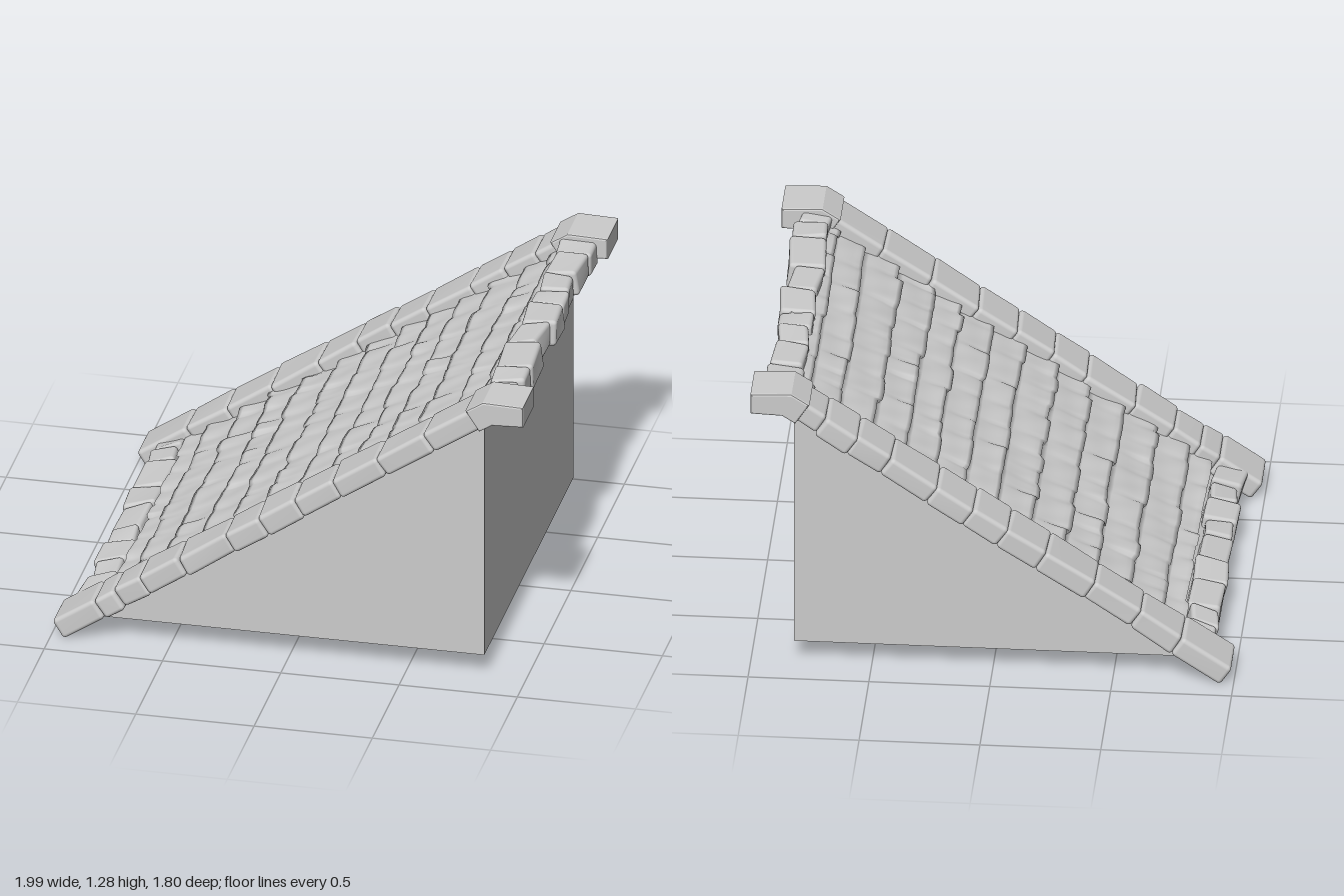
import * as THREE from 'three';
import { mergeVertices } from 'three/addons/utils/BufferGeometryUtils.js';
import { RoundedBoxGeometry } from 'three/addons/geometries/RoundedBoxGeometry.js';

const SLOPE = Math.atan(0.66), COS = Math.cos(SLOPE);
const mat = new THREE.MeshStandardMaterial({ color: 0xcccccc });
const sheetMat = new THREE.MeshStandardMaterial({ color: 0xcccccc, side: THREE.DoubleSide });

let seed = 7;
const rand = () => (seed = (seed * 16807) % 2147483647) / 2147483647;
const jitter = (a) => (rand() * 2 - 1) * a;

// Worn stone block: a rounded box, slightly tapered, twisted and dented
function stone(name, w, h, d, rough) {
  let g = new RoundedBoxGeometry(w, h, d, 3, Math.min(0.018, w * 0.2, d * 0.2));
  g.deleteAttribute('normal');
  g.deleteAttribute('uv');
  g = mergeVertices(g, 1e-4);
  const p = g.attributes.position;
  const k = Array.from({ length: 6 }, () => jitter(rough));
  for (let i = 0; i < p.count; i++) {
    const u = p.getX(i) / w, v = p.getY(i) / h, t = p.getZ(i) / d;
    p.setXYZ(i,
      p.getX(i) + k[0] * t + k[1] * v * t * 2,
      p.getY(i) + k[2] * t + k[3] * u * t * 2,
      p.getZ(i) + k[4] * u + k[5] * u * v * 2);
  }
  g.computeVertexNormals();
  const m = new THREE.Mesh(g, mat);
  m.name = name;
  return m;
}

// Bent corner stone at the top of each rail
function cornerStone(z) {
  const pts = [[0.765, 1.255], [0.83, 1.297], [0.99, 1.292], [0.99, 1.215], [0.865, 1.21], [0.815, 1.178]];
  const s = new THREE.Shape(pts.map(([x, y]) => new THREE.Vector2(x, y)));
  const g = new THREE.ExtrudeGeometry(s, {
    depth: 0.19, bevelThickness: 0.01, bevelSize: 0.008, bevelSegments: 2,
  });
  g.translate(0, 0, z - 0.095);
  const m = new THREE.Mesh(g, mat);
  m.name = 'topCornerStone';
  return m;
}

// Overlapping shingle courses as one displaced sheet, in slope coordinates
function shingles() {
  const rows = [-0.80, -0.72, -0.58, -0.44, -0.31, -0.17, -0.03, 0.10, 0.23, 0.345, 0.48, 0.62, 0.74, 0.86];
  const z0 = -0.74, z1 = 0.73, nz = 90, na = 8;
  const pos = [], idx = [];
  const stride = nz + 1;
  let lines = 0;
  for (let r = 0; r < rows.length - 1; r++) {
    // tile joints of this course, each tile with its own lift and overhang
    const tiles = [];
    for (let z = z0 - rand() * 0.12; z < z1;) {
      const w = 0.1 + rand() * 0.13;
      tiles.push({ z, w, lift: jitter(0.008), over: jitter(0.014), tilt: jitter(0.008) });
      z += w;
    }
    for (let a = 0; a <= na; a++, lines++) {
      const f = a / na;
      for (let j = 0; j <= nz; j++) {
        const z = z0 + (z1 - z0) * j / nz;
        const t = tiles.find((q) => z <= q.z + q.w) || tiles[tiles.length - 1];
        const e = (z - t.z) / t.w;
        const round = 1 - Math.pow(Math.abs(2 * e - 1), 6);
        const s = THREE.MathUtils.lerp(rows[r], rows[r + 1], f) / COS + t.over * (1 - f);
        const nose = f < 0.12 ? -0.006 : 0;
        const high = -0.028 + t.lift + t.tilt * (e - 0.5) - 0.008 * (1 - round) + nose;
        const y = THREE.MathUtils.lerp(high, -0.062, Math.pow(f, 0.8))
          + 0.003 * Math.sin(s * 31 + z * 17) * Math.sin(z * 23 - s * 11);
        pos.push(s, y, z);
      }
    }
  }
  for (let i = 0; i < lines - 1; i++) {
    for (let j = 0; j < nz; j++) {
      const a = i * stride + j, b = a + 1, c = a + stride, d = c + 1;
      idx.push(a, b, c, b, d, c);
    }
  }
  const g = new THREE.BufferGeometry();
  g.setAttribute('position', new THREE.Float32BufferAttribute(pos, 3));
  g.setIndex(idx);
  g.computeVertexNormals();
  const m = new THREE.Mesh(g, sheetMat);
  m.name = 'shingles';
  return m;
}

export function createModel() {
  const root = new THREE.Group();
  root.name = 'slopedRoof';

  // Solid wedge under the roof
  const tri = new THREE.Shape([[-0.8, 0.112], [0.822, 0.112], [0.822, 1.185]].map(([x, y]) => new THREE.Vector2(x, y)));
  const wedgeGeo = new THREE.ExtrudeGeometry(tri, { depth: 1.67, bevelEnabled: false });
  wedgeGeo.translate(0, 0, -0.84);
  const wedge = new THREE.Mesh(wedgeGeo, mat);
  wedge.name = 'wedgeBase';
  root.add(wedge);

  // Everything lying on the slope; local y = 0 is the rail top
  const slope = new THREE.Group();
  slope.name = 'roofSlope';
  slope.position.y = 0.75;
  slope.rotation.z = SLOPE;
  slope.add(shingles());
  root.add(slope);

  // Side rails of stone blocks
  const rails = [
    { name: 'frontRailStone', z: 0.785, cuts: [-0.82, -0.74, -0.63, -0.47, -0.27, -0.13, 0.02, 0.18, 0.37, 0.57, 0.78] },
    { name: 'backRailStone', z: -0.8, cuts: [-0.79, -0.62, -0.43, -0.23, -0.07, 0.07, 0.22, 0.41, 0.55, 0.68, 0.78] },
  ];
  for (const { name, z, cuts } of rails) {
    for (let i = 0; i < cuts.length - 1; i++) {
      const a = cuts[i] / COS, b = cuts[i + 1] / COS;
      const m = stone(name, b - a + 0.002, 0.095 + jitter(0.006), 0.195 + jitter(0.012), 0.006);
      m.position.set((a + b) / 2, -0.047 + jitter(0.003), z + jitter(0.005));
      slope.add(m);
    }
    const low = -0.995 / COS, up = cuts[0] / COS;
    const foot = stone('bottomCornerStone', up - low, 0.094, 0.21, 0.002);
    foot.position.set((low + up) / 2, -0.046, z);
    slope.add(foot);
    root.add(cornerStone(z));
  }

  // Stone rows along the eave and the ridge
  const edges = [
    { name: 'eaveStone', x: -0.84, y: 0.108, w: 0.13, h: 0.115, tilt: 0.28,
      cuts: [-0.72, -0.64, -0.51, -0.28, -0.1, 0.11, 0.24, 0.41, 0.55, 0.7] },
    { name: 'ridgeStone', x: 0.868, y: 1.222, w: 0.14, h: 0.115, tilt: 0.08,
      cuts: [-0.72, -0.59, -0.4, -0.25, -0.13, 0.06, 0.25, 0.49, 0.62, 0.7] },
  ];
  for (const { name, x, y, w, h, tilt, cuts } of edges) {
    for (let i = 0; i < cuts.length - 1; i++) {
      const m = stone(name, w + jitter(0.016), h + jitter(0.01), cuts[i + 1] - cuts[i] + 0.004, 0.014);
      m.position.set(x + jitter(0.008), y + jitter(0.005), (cuts[i] + cuts[i + 1]) / 2);
      m.rotation.z = tilt + jitter(0.08);
      root.add(m);
    }
  }
  return root;
}
